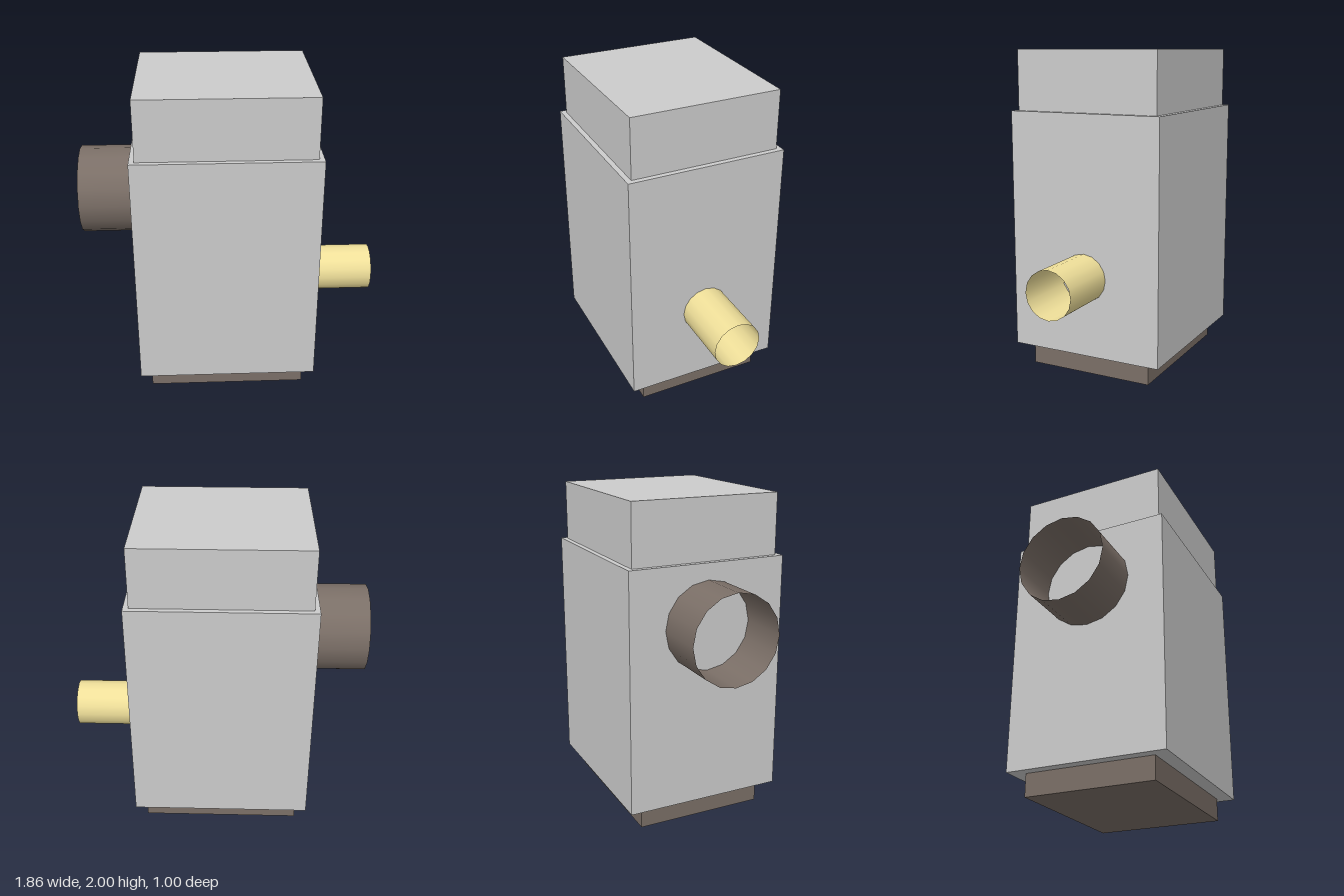
import * as THREE from 'three';

const CENTRE_X = -0.035; // body axis, offset because the two pipes differ in length

export function createModel() {
  const model = new THREE.Group();
  const grey = new THREE.MeshStandardMaterial({ color: 0xcccccc });
  const brown = new THREE.MeshStandardMaterial({ color: 0x7b6f67 });
  const brownPipe = new THREE.MeshStandardMaterial({ color: 0x7b6f67, side: THREE.DoubleSide });
  const yellowPipe = new THREE.MeshStandardMaterial({ color: 0xf0e09a, side: THREE.DoubleSide });

  // Box centred on the body axis, between two heights
  function block(name, width, depth, y0, y1, material) {
    const mesh = new THREE.Mesh(new THREE.BoxGeometry(width, y1 - y0, depth), material);
    mesh.name = name;
    mesh.position.set(CENTRE_X, (y0 + y1) / 2, 0);
    model.add(mesh);
  }

  // Open sixteen-sided tube lying along x
  function pipe(name, radius, x0, x1, y, material) {
    const geometry = new THREE.CylinderGeometry(radius, radius, x1 - x0, 16, 1, true);
    geometry.rotateZ(Math.PI / 2);
    const mesh = new THREE.Mesh(geometry, material);
    mesh.name = name;
    mesh.position.set((x0 + x1) / 2, y, 0);
    model.add(mesh);
  }

  // Stacked housing
  block('base', 0.99, 0.81, 0, 0.14, brown);
  block('body', 1.12, 0.995, 0.14, 1.63, grey);
  block('lid', 1.055, 0.93, 1.63, 2, grey);

  // Side pipes
  pipe('upperPipe', 0.273, -0.93, -0.595, 1.257, brownPipe);
  pipe('lowerPipe', 0.149, 0.525, 0.93, 0.636, yellowPipe);

  return model;
}
